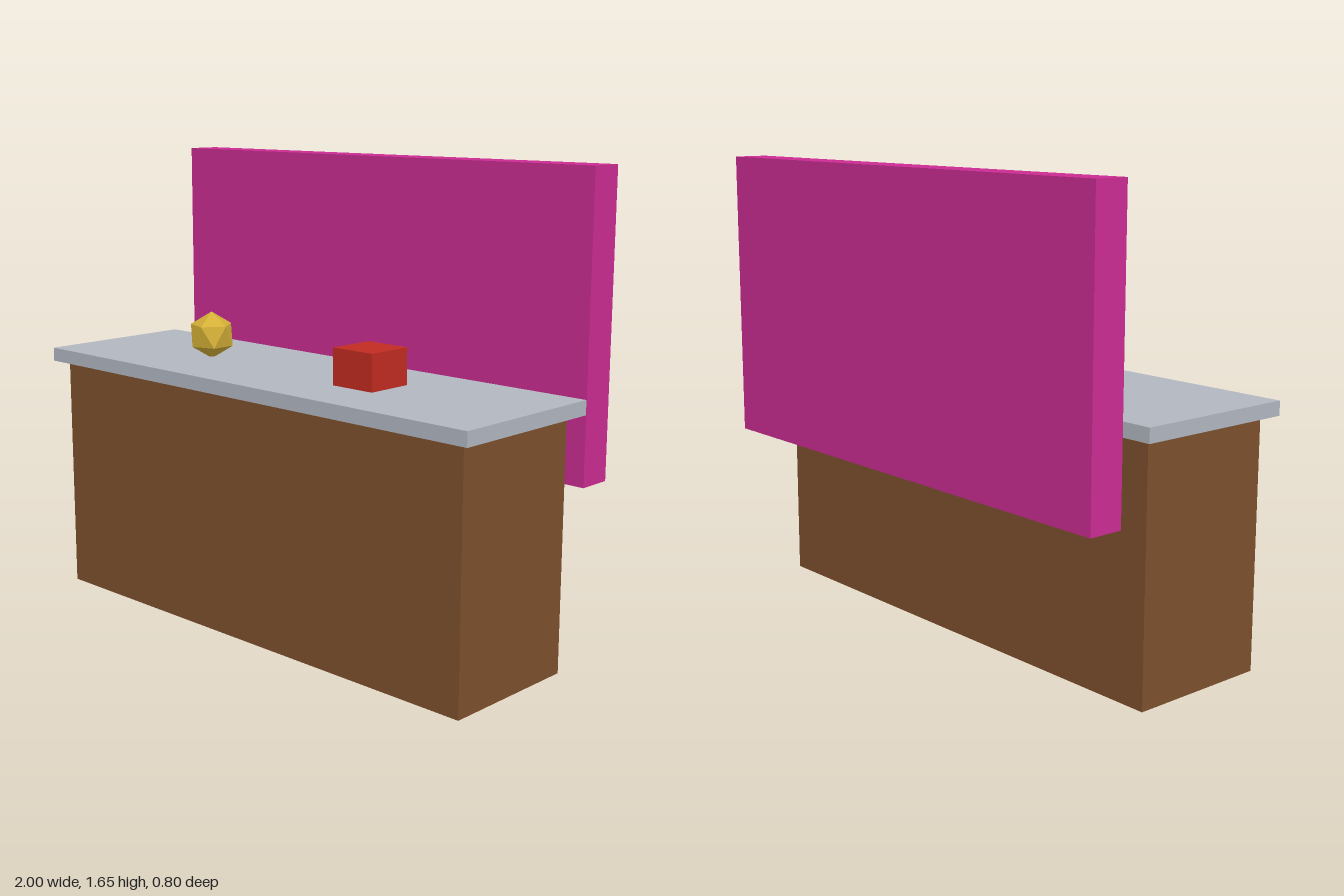
import * as THREE from 'three';

const material = (name, color) => {
  const m = new THREE.MeshStandardMaterial({ color });
  m.name = name;
  return m;
};

// Box given by its min and max corners
function box(name, mat, [x0, y0, z0], [x1, y1, z1]) {
  const mesh = new THREE.Mesh(new THREE.BoxGeometry(x1 - x0, y1 - y0, z1 - z0), mat);
  mesh.position.set((x0 + x1) / 2, (y0 + y1) / 2, (z0 + z1) / 2);
  mesh.name = name;
  return mesh;
}

export function createModel() {
  const group = new THREE.Group();
  group.name = 'counter';

  const wood = material('brown wood', 0x7d502d);
  const stone = material('grey stone', 0xb1b6c0);
  const pink = material('magenta', 0xca2c92);
  const red = material('red', 0xc12b22);
  const gold = material('gold', 0xd4af37);
  gold.flatShading = true;

  // Counter, top slab, floating back panel and small block
  group.add(
    box('counterBase', wood, [-0.956, 0, -0.163], [0.956, 0.874, 0.359]),
    box('counterTop', stone, [-1, 0.872, -0.205], [1, 0.922, 0.4]),
    box('backPanel', pink, [-0.956, 0.61, -0.4], [0.956, 1.654, -0.273]),
    box('redBlock', red, [0.261, 0.915, 0.011], [0.435, 1.05, 0.185])
  );

  // Twenty-sided ornament, turned so that one corner points straight up
  const ornament = new THREE.Mesh(new THREE.IcosahedronGeometry(0.087, 0), gold);
  ornament.rotation.z = -Math.atan(2 / (1 + Math.sqrt(5)));
  ornament.position.set(-0.436, 1.001, 0.098);
  ornament.name = 'goldOrnament';
  group.add(ornament);

  return group;
}
